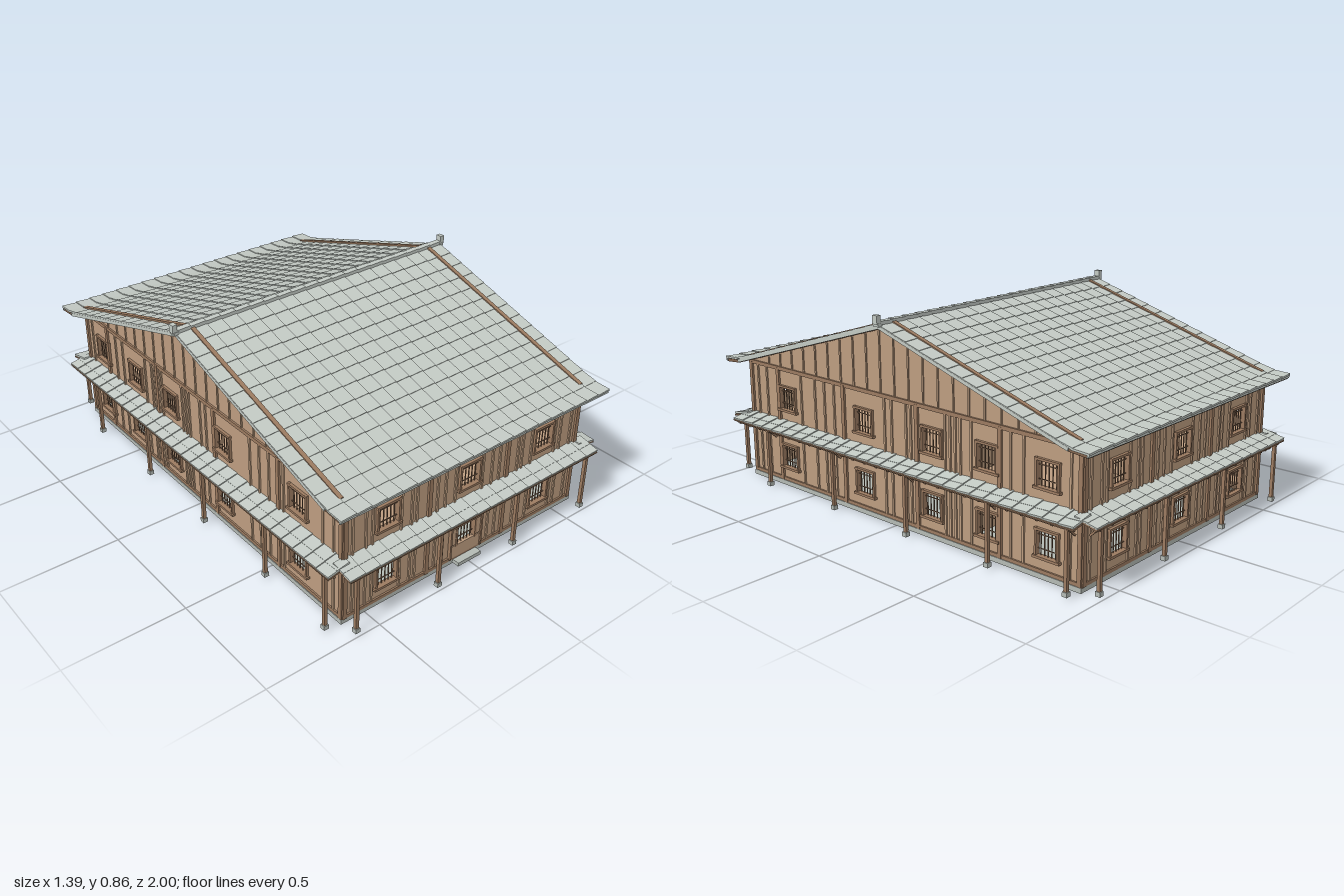
import * as THREE from 'three';
import { mergeGeometries } from 'three/addons/utils/BufferGeometryUtils.js';

const material = (name, color) => {
  const m = new THREE.MeshStandardMaterial({ color });
  m.name = name;
  return m;
};

export function createModel() {
  const tile = material('grey tile', 0xc2c9c3);
  const stone = material('grey stone', 0xb4bab4);
  const plank = material('tan plank', 0xbd9d80);
  const trim = material('brown timber', 0x9c7b61);
  const dark = material('dark timber', 0x80634d);
  const model = new THREE.Group();
  model.name = 'timberHall';

  const HX = 0.6, HZ = 0.91, SLOPE = 0.28 / 0.91;
  // Height of the roof surface at a distance from the ridge
  const roofY = (z) => (z < 0.9 ? 0.818 - z * SLOPE : 0.541 - (z - 0.9) * 0.08);

  // One mesh from many boxes: [x, y, z, w, h, d, rx, rz]
  const boxes = (parent, name, mat, list) => {
    const geos = list.map(([x, y, z, w, h, d, rx = 0, rz = 0]) =>
      new THREE.BoxGeometry(w, h, d).rotateZ(rz).rotateX(rx).translate(x, y, z));
    const mesh = new THREE.Mesh(mergeGeometries(geos), mat);
    mesh.name = name;
    parent.add(mesh);
    return mesh;
  };
  const group = (name, ry = 0) => {
    const g = new THREE.Group();
    g.name = name;
    g.rotation.y = ry;
    model.add(g);
    return g;
  };

  // Stone floor and footing, upper floor, inner partitions
  boxes(model, 'footing', stone, [[0, 0.01, 0, 1.22, 0.02, 1.83]]);
  boxes(model, 'upperFloor', plank, [[0, 0.265, 0, 1.18, 0.012, 1.8]]);
  boxes(model, 'partitions', plank, [
    [0.37, 0.27, -0.32, 0.43, 0.5, 0.01], [-0.37, 0.27, -0.32, 0.43, 0.5, 0.01],
    [0.16, 0.395, -0.61, 0.01, 0.25, 0.58],
  ]);

  const FLOORS = [0.135, 0.393];   // window centre heights
  const W = 0.1;                   // window opening size

  // One facade facing +z in its own frame, at distance dist from the centre
  function facade(name, half, dist, ry, windows, posts, studs, gable, door) {
    const g = group(name, ry);
    const shape = new THREE.Shape();
    shape.moveTo(-half, 0.02);
    shape.lineTo(half, 0.02);
    shape.lineTo(half, 0.528);
    if (gable) shape.lineTo(0, 0.803);
    shape.lineTo(-half, 0.528);
    shape.closePath();

    const frames = [], bars = [];
    for (const u of windows) for (const y of FLOORS) {
      const r = W / 2;
      const hole = new THREE.Path();
      hole.moveTo(u - r, y - r);
      hole.lineTo(u - r, y + r);
      hole.lineTo(u + r, y + r);
      hole.lineTo(u + r, y - r);
      hole.closePath();
      shape.holes.push(hole);
      for (const s of [-1, 1]) frames.push([u + s * r, y, dist, 0.009, W + 0.01, 0.022]);
      frames.push([u, y + r, dist, W + 0.012, 0.009, 0.024]);
      if (!(door && u === 0 && y < 0.2)) frames.push([u, y - r - 0.004, dist + 0.003, 0.122, 0.01, 0.026]);
      for (let i = -2; i <= 2; i++) bars.push([u + i * 0.0165, y, dist - 0.003, 0.0035, W, 0.0035]);
      for (const h of [-0.025, 0.028]) bars.push([u, y + h, dist - 0.003, W, 0.003, 0.003]);
    }
    const wall = new THREE.Mesh(
      new THREE.ExtrudeGeometry(shape, { depth: 0.012, bevelEnabled: false }).translate(0, 0, dist - 0.012), plank);
    wall.name = 'wall';
    g.add(wall);
    boxes(g, 'windowFrames', trim, frames);
    boxes(g, 'windowBars', dark, bars);

    // Sills, girts and top plate
    boxes(g, 'rails', trim, [
      [0, 0.027, dist, 2 * half + 0.01, 0.014, 0.014],
      [0, 0.262, dist, 2 * half + 0.01, 0.018, 0.016],
      [0, 0.519, dist, 2 * half + 0.01, 0.016, 0.016],
    ]);
    // Main posts at the wall
    boxes(g, 'wallPosts', trim, [-half + 0.006, half - 0.006, ...posts.filter((u) => Math.abs(u) < half - 0.05)]
      .map((u) => [u, 0.27, dist, 0.018, 0.5, 0.018]));
    // Light studs, skipped where a window is in the way
    const clear = (u) => windows.every((w) => Math.abs(w - u) > 0.062);
    boxes(g, 'studs', plank, studs.filter(clear).map((u) => [u, 0.27, dist + 0.002, 0.009, 0.49, 0.008]));
    if (gable) {
      const list = [];
      for (let i = -10; i <= 10; i++) {
        const h = roofY(Math.abs(i) * 0.078) - 0.02 - 0.528;
        if (h > 0.02) list.push([i * 0.078, 0.528 + h / 2, dist + 0.001, 0.007, h, 0.008]);
      }
      boxes(g, 'gableBattens', plank, list);
    }

    // Skirt canopy: sloped boards, rafters and two tilted courses of tiles
    const out = 0.096, tilt = 0.2, len = 2 * half + (gable ? 0.06 : 0.08);
    boxes(g, 'canopyBoards', trim, [[0, 0.272, dist + out / 2, len, 0.006, out - 0.01, tilt]]);
    const n = Math.round(len / 0.067), step = len / n, tiles = [], rafters = [];
    for (let i = 0; i < n; i++) {
      const u = -len / 2 + (i + 0.5) * step;
      tiles.push([u, 0.286, dist + 0.022, step, 0.008, 0.056, tilt, 0.06]);
      tiles.push([u, 0.276, dist + 0.065, step, 0.008, 0.05, tilt, 0.06]);
      rafters.push([u, 0.263, dist + 0.042, 0.01, 0.01, 0.08, tilt]);
    }
    boxes(g, 'canopyTiles', tile, tiles);
    boxes(g, 'canopyRafters', dark, rafters);

    // Veranda posts on stone blocks, with knee braces and a beam
    const pz = dist + 0.072;
    boxes(g, 'verandaPosts', trim, posts.map((u) => [u, 0.138, pz, 0.014, 0.24, 0.014]));
    boxes(g, 'postStones', stone, posts.map((u) => [u, 0.018, pz, 0.021, 0.018, 0.021]));
    boxes(g, 'kneeBraces', trim, posts.map((u) => [u, 0.238, pz - 0.022, 0.008, 0.008, 0.058, -0.75]));
    boxes(g, 'verandaBeam', trim, [[0, 0.257, pz, len - 0.02, 0.011, 0.011]]);
    return g;
  }

  const endStuds = [0.56, 0.5, 0.47, 0.335, 0.285, 0.26, 0.16, 0.12, 0.07]
    .flatMap((u) => [u, -u]);
  const endPosts = [-0.595, -0.2, 0.2, 0.595];
  const front = facade('frontSide', HX, HZ, 0, [-0.4, 0, 0.4], endPosts, endStuds, false, true);
  facade('backSide', HX, HZ, Math.PI, [-0.4, 0, 0.4], endPosts, endStuds, false, false);

  // Long sides, with a run of close-set studs behind the middle
  const zWin = [0.66, 0.18, -0.2, -0.48, -0.76];
  const zPost = [0.72, 0.3, -0.12, -0.54, -0.9];
  const zStud = [0.86, 0.8, 0.57, 0.48, 0.42, 0.36, 0.06, 0.02, -0.4, -0.59, -0.65, -0.86];
  for (let i = 0; i < 12; i++) zStud.push(-0.06 - i * 0.026);
  const flip = (a, s) => a.map((v) => v * s);
  for (const s of [1, -1]) {
    const posts = s > 0 ? zPost : flip(zPost, -1);
    facade(s > 0 ? 'leftSide' : 'rightSide', HZ, HX, s * Math.PI / 2,
      flip(zWin, -s), flip(posts, -s), flip(zStud, -s), true, false);
  }

  // Entrance: jambs, lintel, kick panel, hood board and step
  boxes(front, 'doorFrame', trim, [
    [-0.08, 0.1, HZ + 0.006, 0.008, 0.145, 0.016], [0.08, 0.1, HZ + 0.006, 0.008, 0.145, 0.016],
    [0, 0.174, HZ + 0.006, 0.168, 0.008, 0.018], [0, 0.228, HZ + 0.014, 0.162, 0.007, 0.034],
  ]);
  boxes(front, 'doorPanels', plank, [
    [0, 0.057, HZ + 0.004, 0.15, 0.055, 0.01], [0, 0.203, HZ + 0.005, 0.148, 0.036, 0.012],
    [-0.063, 0.13, HZ + 0.004, 0.024, 0.08, 0.01], [0.063, 0.13, HZ + 0.004, 0.024, 0.08, 0.01],
  ]);
  boxes(front, 'doorStep', stone, [[0, 0.012, HZ + 0.02, 0.12, 0.016, 0.035]]);

  // Main roof: each slope has boards, overlapping tiles, rafters and two brown battens
  const RX = 0.676, COLS = 20, ROWS = 14, RZ = 0.985;
  for (const [name, ry] of [['frontRoof', 0], ['backRoof', Math.PI]]) {
    const g = group(name, ry);
    const deck = new THREE.Shape();
    deck.moveTo(0, roofY(0) - 0.005);
    for (const z of [0.9, 0.98]) deck.lineTo(z, roofY(z) - 0.005);
    for (const z of [0.98, 0.9, 0]) deck.lineTo(z, roofY(z) - 0.017);
    deck.closePath();
    const board = new THREE.Mesh(
      new THREE.ExtrudeGeometry(deck, { depth: 2 * RX - 0.01, bevelEnabled: false })
        .translate(0, 0, -RX + 0.005).rotateY(-Math.PI / 2), dark);
    board.name = 'roofBoards';
    g.add(board);

    const tiles = [], dz = RZ / ROWS, dx = (2 * RX) / COLS;
    for (let r = 0; r < ROWS; r++) {
      const z0 = r * dz, z1 = z0 + dz, a = Math.atan((roofY(z0) - roofY(z1)) / dz);
      for (let c = 0; c < COLS; c++) {
        tiles.push([-RX + (c + 0.5) * dx, (roofY(z0) + roofY(z1)) / 2, (z0 + z1) / 2,
          dx, 0.008, dz / Math.cos(a) + 0.006, a - 0.03, 0.06]);
      }
    }
    boxes(g, 'roofTiles', tile, tiles);

    const a = Math.atan(SLOPE);
    boxes(g, 'gableBattens', trim, [-1, 1].map((s) =>
      [s * 0.605, roofY(0.45) + 0.001, 0.45, 0.018, 0.018, 0.9 / Math.cos(a), a]));
    boxes(g, 'eaveEdge', tile, [[0, roofY(0.98) - 0.006, 0.981, 2 * RX, 0.013, 0.008]]);
    boxes(g, 'vergeEdges', tile, [-1, 1].map((s) =>
      [s * (RX - 0.003), roofY(0.45) - 0.008, 0.45, 0.008, 0.014, 0.9 / Math.cos(a), a]));
  }

  // Ridge cap in short lengths with upright end tiles
  const ridge = [];
  for (let i = 0; i < 20; i++) ridge.push([-0.646 + i * 0.068, 0.826, 0, 0.068, 0.014, 0.026, 0, 0.04]);
  boxes(model, 'ridgeCap', tile, ridge);
  boxes(model, 'ridgeEnds', tile, [-1, 1].flatMap((s) => [
    [s * 0.683, 0.84, 0, 0.02, 0.034, 0.026], [s * 0.678, 0.82, 0, 0.02, 0.014, 0.03],
  ]));
  return model;
}
